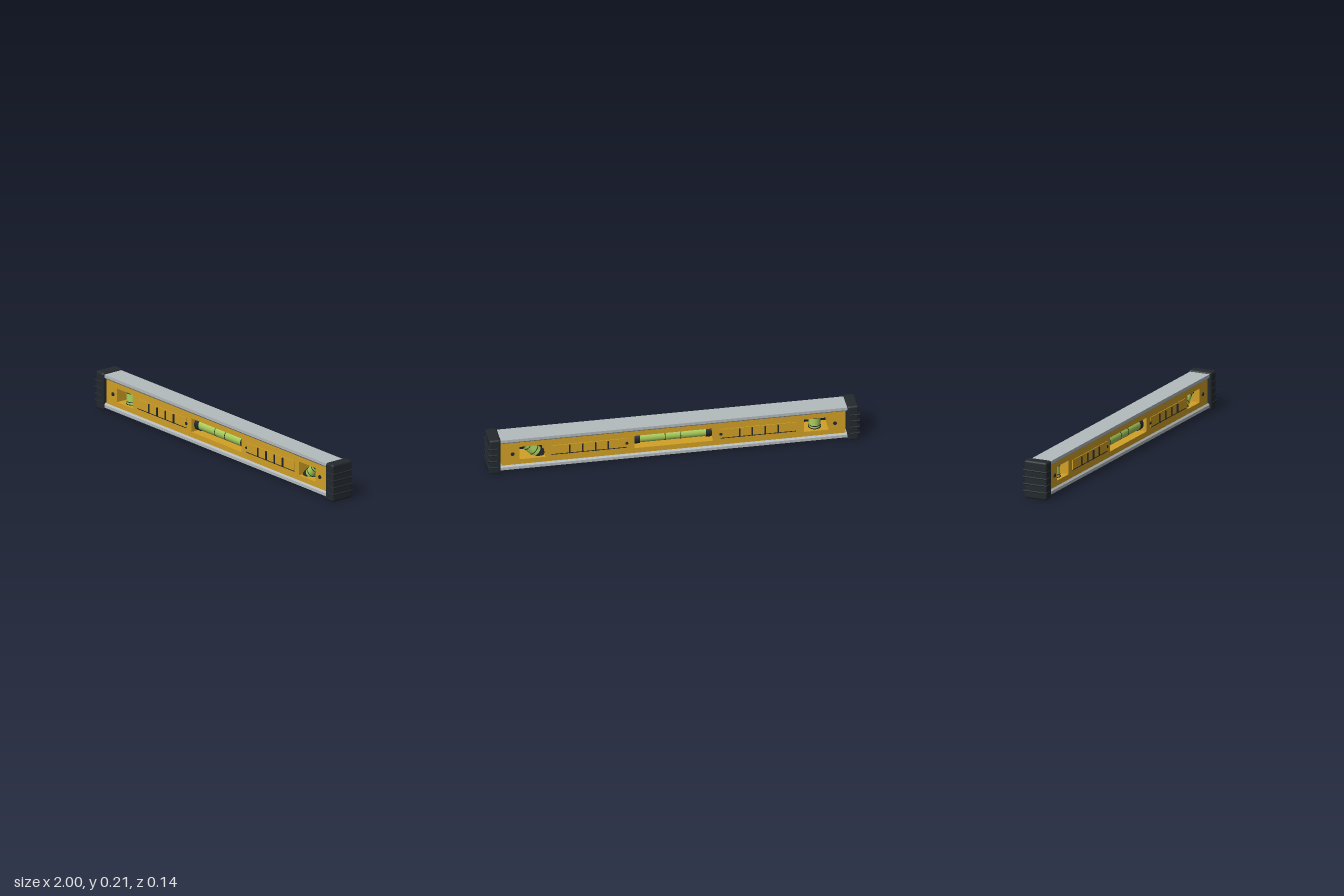
import * as THREE from 'three';
import { RoundedBoxGeometry } from 'three/addons/geometries/RoundedBoxGeometry.js';

const mat = (color) => new THREE.MeshStandardMaterial({ color });

export function createModel() {
  const root = new THREE.Group();
  root.name = 'spiritLevel';
  const metal = mat(0xb4bbbd), yellow = mat(0xd2a026), dark = mat(0x23292e), green = mat(0xa9cf5c);
  const MID = 0.107;

  const add = (parent, name, geometry, material, x = 0, y = 0, z = 0) => {
    const mesh = new THREE.Mesh(geometry, material);
    mesh.name = name;
    mesh.position.set(x, y, z);
    parent.add(mesh);
    return mesh;
  };
  const box = (parent, name, w, h, d, m, x, y, z) =>
    add(parent, name, new THREE.BoxGeometry(w, h, d), m, x, y, z);

  // Metal rails with chamfered edges, run along x
  const railShape = new THREE.Shape();
  [[-0.058, 0], [0.058, 0], [0.058, 0.016], [0.05, 0.025], [-0.05, 0.025], [-0.058, 0.016]]
    .forEach(([z, y], i) => (i ? railShape.lineTo(z, y) : railShape.moveTo(z, y)));
  const railGeo = new THREE.ExtrudeGeometry(railShape, { depth: 1.9, bevelEnabled: false });
  railGeo.translate(0, 0, -0.95).rotateY(Math.PI / 2);
  add(root, 'bottomRail', railGeo, metal, 0, 0.016, 0);
  add(root, 'topRail', railGeo, metal, 0, 0.2, 0).rotation.x = Math.PI;

  // Yellow core with three through windows
  const rect = (target, x0, x1, y0, y1) => {
    target.moveTo(x0, y0);
    target.lineTo(x1, y0);
    target.lineTo(x1, y1);
    target.lineTo(x0, y1);
    target.closePath();
    return target;
  };
  const core = rect(new THREE.Shape(), -0.925, 0.925, 0.036, 0.18);
  [[-0.835, -0.7], [-0.213, 0.21], [0.69, 0.83]].forEach(([a, b]) =>
    core.holes.push(rect(new THREE.Path(), a, b, 0.07, 0.146)));
  const coreGeo = new THREE.ExtrudeGeometry(core, { depth: 0.1, bevelEnabled: false });
  add(root, 'core', coreGeo.translate(0, 0, -0.05), yellow);

  // Face details on both sides: raised panels, scale ticks, dots and screws
  for (const face of [1, -1]) {
    for (const side of [1, -1]) {
      const panel = new THREE.Group();
      panel.name = 'scalePanel';
      root.add(panel);
      const cx = side * 0.455;
      box(panel, 'panel', 0.405, 0.054, 0.006, yellow, cx, 0.11, face * 0.051);
      box(panel, 'panelLine', 0.405, 0.004, 0.007, dark, cx, 0.083, face * 0.0512);
      for (let i = 0; i < 4; i++)
        box(panel, 'tick', 0.007, 0.05, 0.012, dark, side * (0.353 + i * 0.069), 0.108, face * 0.054);
      for (const [x, r, name] of [[0.253, 0.008, 'dot'], [0.867, 0.01, 'screw']]) {
        const disc = new THREE.CylinderGeometry(r, r, 0.008, 20).rotateX(Math.PI / 2);
        add(root, name, disc, dark, side * x, MID, face * 0.051);
      }
    }
  }

  // Vials: tube, end plugs and marker rings along local y
  const vial = (name, x, angle, length, plug, ringGap) => {
    const g = new THREE.Group();
    g.name = name;
    g.position.set(x, MID + 0.002, 0);
    g.rotation.z = angle;
    root.add(g);
    add(g, 'tube', new THREE.CylinderGeometry(0.031, 0.031, length, 32), green);
    for (const s of [1, -1]) {
      const plugGeo = new THREE.CylinderGeometry(0.035, 0.035, plug, 32);
      add(g, 'plug', plugGeo, dark, 0, s * (length + plug) / 2, 0);
      const ring = new THREE.CylinderGeometry(0.0318, 0.0318, 0.004, 32);
      add(g, 'markerRing', ring, dark, 0, s * ringGap, 0);
    }
  };
  vial('levelVial', 0, Math.PI / 2, 0.356, 0.03, 0.042);
  vial('plumbVial', -0.767, 0, 0.072, 0.012, 0.024);
  vial('angleVial', 0.76, -Math.PI / 4, 0.084, 0.03, 0.022);

  // Rubber end caps with wrapping ribs
  for (const side of [1, -1]) {
    const cap = new THREE.Group();
    cap.name = side > 0 ? 'leftEndCap' : 'rightEndCap';
    root.add(cap);
    add(cap, 'cap', new RoundedBoxGeometry(0.062, 0.209, 0.135, 4, 0.012), dark, side * 0.963, 0.1045, 0);
    for (const y of [0.043, 0.081, 0.119, 0.156])
      add(cap, 'rib', new RoundedBoxGeometry(0.054, 0.008, 0.142, 3, 0.0035), dark, side * 0.973, y, 0);
  }
  return root;
}
